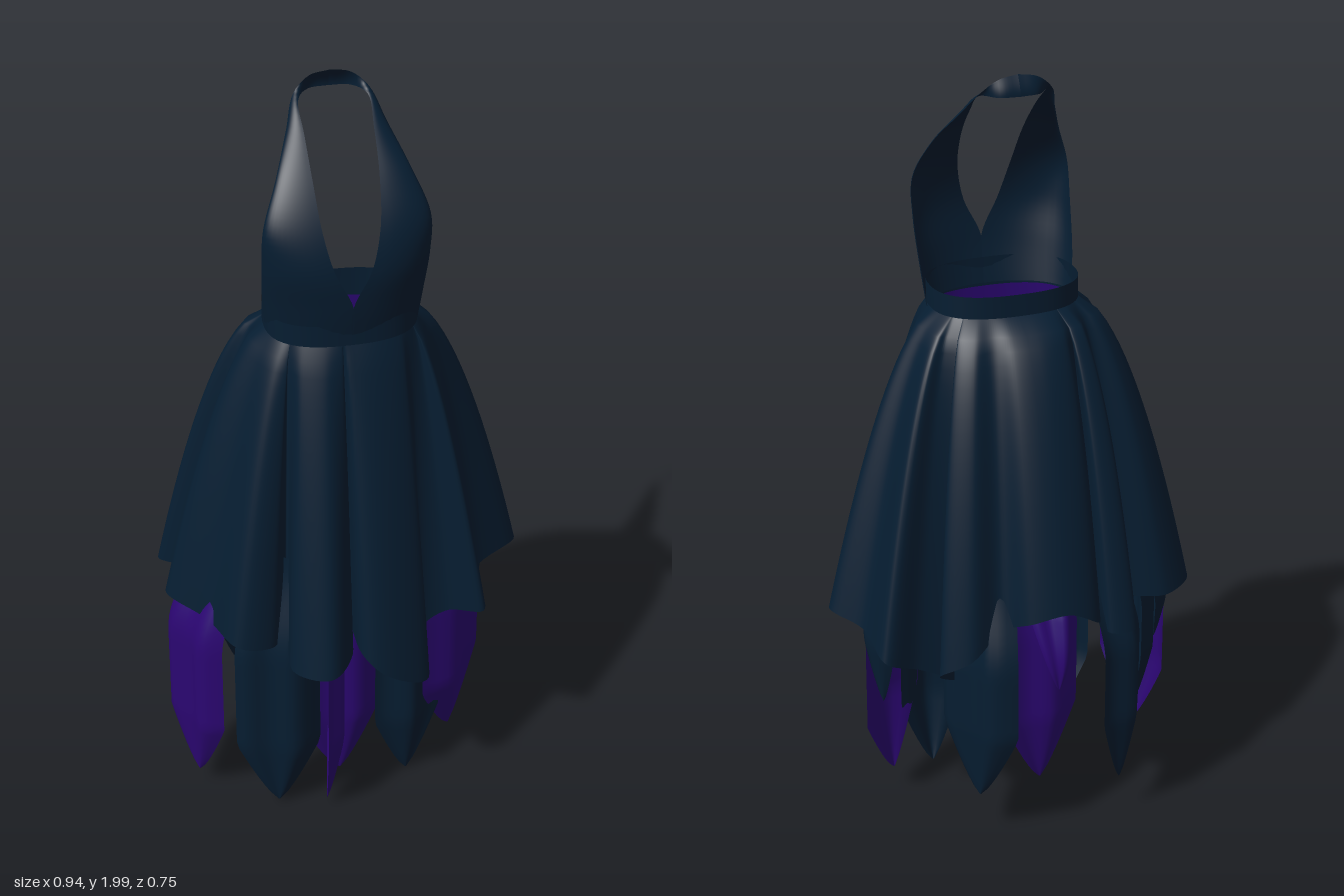
import * as THREE from 'three';
import { ParametricGeometry } from 'three/addons/geometries/ParametricGeometry.js';

const V = (p) => new THREE.Vector3(...p);
const lerp = THREE.MathUtils.lerp;

export function createModel() {
  const dress = new THREE.Group();
  dress.name = 'halterDress';
  const navy = new THREE.MeshStandardMaterial({ color: 0x061d31, side: THREE.DoubleSide });
  navy.name = 'navy';
  const purple = new THREE.MeshStandardMaterial({ color: 0x2b0672, side: THREE.DoubleSide });
  purple.name = 'purple';

  // A smooth cloth surface from a rule over u, v
  function cloth(name, material, nu, nv, rule) {
    const geometry = new ParametricGeometry((u, v, p) => p.set(...rule(u, v)), nu, nv);
    geometry.computeVertexNormals();
    const mesh = new THREE.Mesh(geometry, material);
    mesh.name = name;
    dress.add(mesh);
  }

  // Squared oval around the body, used for the waist and the lining
  const CX = -0.01, CZ = 0.035;
  const sq = (n) => Math.sign(n) * Math.pow(Math.abs(n), 0.8);
  const oval = (a, rx, rz) => [CX + rx * sq(Math.sin(a)), CZ + rz * sq(Math.cos(a))];
  const waist = (a) => oval(a, 0.19, 0.137);

  // Bodice: two halves running from the waist up to the back of the neck
  const innerEdge = new THREE.CatmullRomCurve3([
    [0, 1.38, 0.165], [0, 1.5, 0.185], [0.045, 1.6, 0.187], [0.07, 1.7, 0.16], [0.08, 1.8, 0.103],
    [0.084, 1.89, 0.02], [0.084, 1.945, -0.05], [0.05, 1.95, -0.098], [0, 1.95, -0.105],
  ].map(V));
  const outerEdge = new THREE.CatmullRomCurve3([
    [0.19, 1.38, 0.04], [0.2, 1.48, 0.062], [0.206, 1.6, 0.098], [0.203, 1.7, 0.113], [0.165, 1.8, 0.072],
    [0.122, 1.89, -0.01], [0.092, 1.955, -0.07], [0.05, 1.99, -0.085], [0, 2.0, -0.085],
  ].map(V));
  for (const side of [1, -1]) {
    cloth(side > 0 ? 'leftBodice' : 'rightBodice', navy, 12, 48, (u, v) => {
      const a = innerEdge.getPoint(v), b = outerEdge.getPoint(v), t = u * Math.PI / 2;
      return [side * lerp(a.x, b.x, Math.sin(t)) - 0.007, lerp(a.y, b.y, u), lerp(b.z, a.z, Math.cos(t))];
    });
  }

  // Waistband
  cloth('waistband', navy, 64, 4, (u, v) => {
    const [x, z] = waist(u * Math.PI * 2);
    return [x, lerp(1.36, 1.447, v), z];
  });

  // Overskirt hem: ridges and valleys of the folds as x, y, z
  const hemLine = new THREE.CatmullRomCurve3([
    [-0.02, 0.58, 0.19], [-0.01, 0.55, 0.31], [0.05, 0.49, 0.338], [0.17, 0.43, 0.295], [0.17, 0.52, 0.205],
    [0.24, 0.56, 0.19], [0.33, 0.58, 0.235], [0.337, 0.61, 0.1], [0.475, 0.62, -0.01], [0.41, 0.59, -0.1],
    [0.39, 0.55, -0.22], [0.29, 0.5, -0.195], [0.2, 0.46, -0.205], [0.26, 0.51, -0.26], [0.19, 0.56, -0.305],
    [0.1, 0.62, -0.28], [0.04, 0.66, -0.34], [-0.05, 0.68, -0.36], [-0.14, 0.63, -0.335], [-0.165, 0.6, -0.21],
    [-0.18, 0.58, -0.31], [-0.25, 0.58, -0.31], [-0.255, 0.6, -0.18], [-0.38, 0.6, -0.2],
    [-0.465, 0.61, -0.13], [-0.37, 0.61, -0.05], [-0.47, 0.62, 0.03], [-0.38, 0.6, 0.15],
    [-0.32, 0.58, 0.26], [-0.23, 0.56, 0.25], [-0.185, 0.56, 0.2], [-0.19, 0.53, 0.32],
    [-0.1, 0.53, 0.375], [-0.035, 0.55, 0.31],
  ].map(V), true, 'centripetal');

  // Overskirt: opens from the waist into the folded hem, fuller at the back
  cloth('overskirt', navy, 280, 24, (u, v) => {
    const h = hemLine.getPoint(u % 1);
    const a = Math.atan2(h.x - CX, h.z - CZ), [wx, wz] = waist(a);
    const k = Math.pow(v, 0.62 + 0.16 * Math.cos(a));
    return [lerp(wx, h.x, k), lerp(1.39, h.y, v), lerp(wz, h.z, k)];
  });

  // Plain lining inside the folds
  cloth('lining', purple, 64, 10, (u, v) => {
    const [x, z] = oval(u * Math.PI * 2, lerp(0.188, 0.28, v), lerp(0.135, 0.14, v));
    return [x, lerp(1.37, 0.75, v), z];
  });

  // Pointed panels under the overskirt: colour, x, z, facing in degrees, half width, tip height
  const panels = [
    [purple, -0.035, 0.18, 8, 0.12, 0.06], [purple, -0.075, 0.25, 75, 0.07, 0.03],
    [navy, 0.155, 0.16, 20, 0.1, 0.01], [purple, 0.3, 0.065, 50, 0.145, 0.07],
    [navy, 0.37, -0.08, 95, 0.1, 0.36], [navy, 0.16, -0.25, 125, 0.115, 0.13],
    [purple, -0.025, -0.37, 180, 0.07, 0.47], [purple, -0.06, -0.15, 195, 0.12, 0.08],
    [navy, -0.24, -0.275, 222, 0.095, 0.12], [navy, -0.42, -0.06, 262, 0.06, 0.4],
    [navy, -0.39, 0, 265, 0.1, 0.17], [purple, -0.42, 0.1, 298, 0.11, 0.06],
    [navy, -0.215, 0.23, 350, 0.11, 0.02],
  ];
  panels.forEach(([material, x, z, degrees, halfWidth, tip], i) => {
    const a = degrees * Math.PI / 180, sin = Math.sin(a), cos = Math.cos(a);
    cloth(`hemPanel${i + 1}`, material, 12, 30, (u, v) => {
      const s = u * 2 - 1, y = lerp(0.8, tip, v);
      const size = lerp(1, 0.8, THREE.MathUtils.smoothstep(y, 0.5, 0.8));
      const taper = Math.min(1, Math.pow(Math.max(0, y - tip) / 0.2, 0.8) + 0.02);
      const w = s * halfWidth * taper * size;
      const bow = 0.035 * (1 - s * s) * taper + 0.012 * Math.sin(s * 5 + i) * taper - 0.015;
      return [x * size + w * cos + bow * sin, y, CZ + (z - CZ) * size - w * sin + bow * cos];
    });
  });

  return dress;
}
